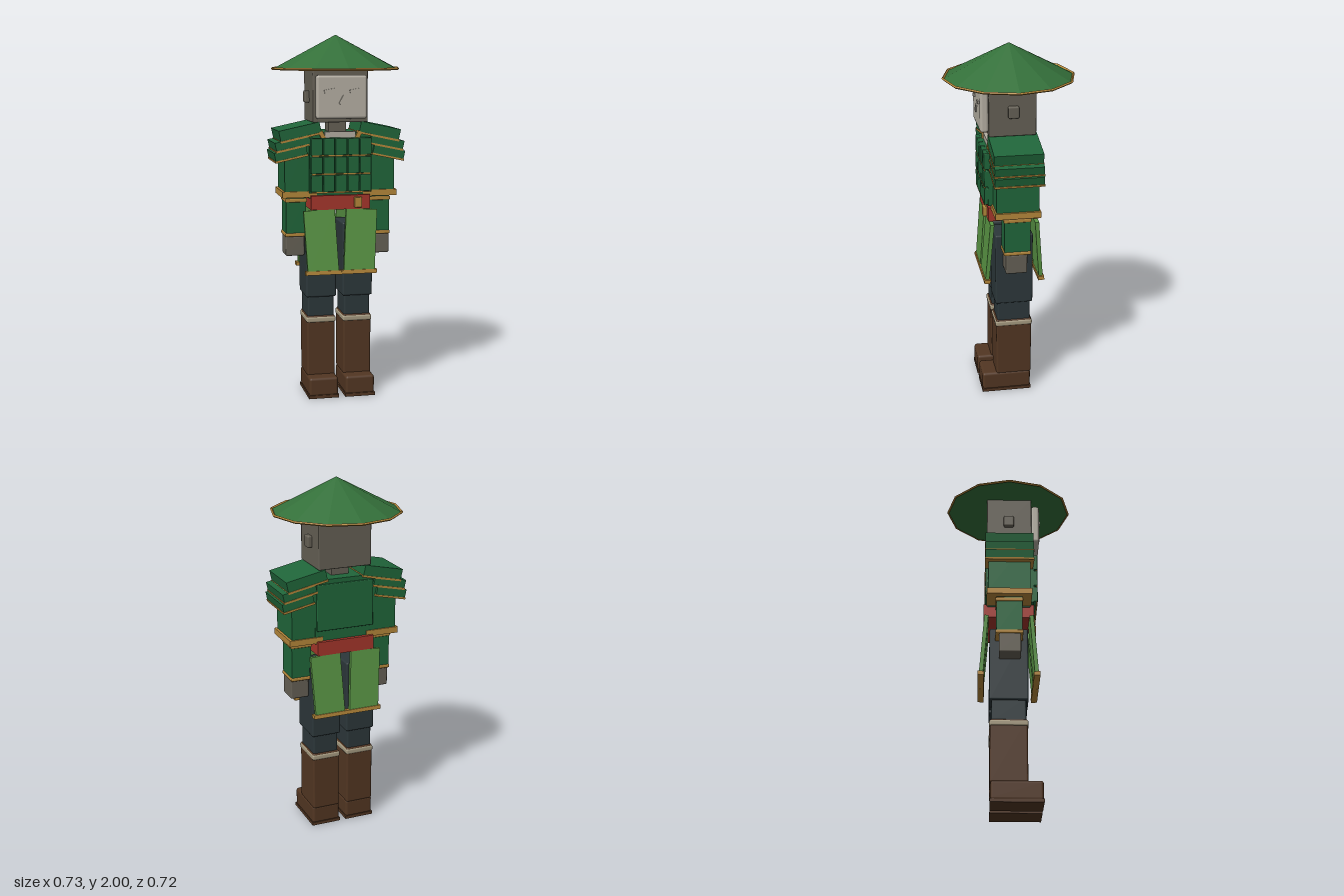
import * as THREE from 'three';
import { RoundedBoxGeometry } from 'three/addons/geometries/RoundedBoxGeometry.js';

const mat = (name, color) => {
  const m = new THREE.MeshStandardMaterial({ color });
  m.name = name;
  return m;
};

export function createModel() {
  const hatGreen = mat('hat green', 0x34703a);
  const green = mat('armour green', 0x20663a);
  const lime = mat('skirt green', 0x5a9645);
  const gold = mat('gold trim', 0xb5873a);
  const red = mat('belt red', 0xa5362b);
  const brown = mat('boot brown', 0x523622);
  const dark = mat('trouser slate', 0x2c373a);
  const beige = mat('boot cuff beige', 0xa59a80);
  const pale = mat('face pale grey', 0xb5afa3);
  const grey = mat('skin grey', 0x656055);

  const model = new THREE.Group();
  model.name = 'figure';

  const add = (parent, name, geometry, material, x, y, z) => {
    const mesh = new THREE.Mesh(geometry, material);
    mesh.name = name;
    mesh.position.set(x, y, z);
    parent.add(mesh);
    return mesh;
  };
  // Sharp box and softly bevelled box, placed by centre
  const box = (parent, name, m, w, h, d, x, y, z) =>
    add(parent, name, new THREE.BoxGeometry(w, h, d), m, x, y, z);
  const soft = (parent, name, m, w, h, d, x, y, z, r = 0.01) =>
    add(parent, name, new RoundedBoxGeometry(w, h, d, 2, r), m, x, y, z);
  const group = (name) => {
    const g = new THREE.Group();
    g.name = name;
    model.add(g);
    return g;
  };

  // Twelve-sided straw hat with a gold rim
  const hat = group('hat');
  const cone = new THREE.ConeGeometry(0.352, 0.185, 12).toNonIndexed();
  cone.computeVertexNormals();
  add(hat, 'hatCone', cone, hatGreen, 0, 1.9075, 0);
  const rim = new THREE.TorusGeometry(0.353, 0.007, 4, 12).rotateX(Math.PI / 2).toNonIndexed();
  rim.computeVertexNormals();
  add(hat, 'hatRim', rim, gold, 0, 1.818, 0);

  // Head, raised face plate and ears
  const head = group('head');
  soft(head, 'skull', grey, 0.305, 0.29, 0.255, 0, 1.675, 0.003, 0.006);
  soft(head, 'facePlate', pale, 0.28, 0.235, 0.046, 0, 1.668, 0.152, 0.015);
  box(head, 'neck', grey, 0.1, 0.07, 0.1, 0, 1.5, 0);
  for (const s of [-1, 1]) {
    soft(head, 'ear', grey, 0.03, 0.065, 0.058, s * 0.162, 1.665, 0, 0.008);
    box(head, 'eye', pale, 0.058, 0.017, 0.009, s * 0.07, 1.703, 0.178).rotation.z = 0.17;
  }
  box(head, 'nose', pale, 0.018, 0.05, 0.009, 0, 1.652, 0.178).rotation.z = -0.5;

  // Torso with back plate and open collar
  const torso = group('torso');
  box(torso, 'chest', green, 0.345, 0.36, 0.235, 0, 1.295, 0);
  soft(torso, 'backPlate', green, 0.33, 0.26, 0.02, 0, 1.32, -0.12, 0.005);
  box(torso, 'frontPlate', green, 0.345, 0.3, 0.03, 0, 1.297, 0.125);
  box(torso, 'undershirt', pale, 0.17, 0.035, 0.03, 0, 1.462, 0.112);
  for (const s of [-1, 1])
    box(torso, 'collarTrim', gold, 0.024, 0.05, 0.035, s * 0.1, 1.458, 0.116).rotation.z = s * -0.45;

  // Laced plates: three rows of five
  for (let row = 0; row < 3; row++) {
    const y = 1.4 - row * 0.1;
    for (let col = -2; col <= 2; col++)
      soft(torso, 'armourPlate', green, 0.063, 0.092, 0.026, col * 0.068, y, 0.148, 0.005);
    box(torso, 'plateLacing', gold, 0.325, 0.008, 0.008, 0, y - 0.048, 0.155);
  }

  // Belt and buckle
  const belt = group('belt');
  box(belt, 'beltBand', red, 0.33, 0.078, 0.278, 0, 1.093, 0);
  soft(belt, 'buckle', gold, 0.042, 0.058, 0.025, 0.095, 1.093, 0.149, 0.005);

  for (const s of [-1, 1]) {
    // Arm, cuffs and hand
    const arm = group(s > 0 ? 'leftArm' : 'rightArm');
    box(arm, 'upperSleeve', green, 0.15, 0.33, 0.23, s * 0.231, 1.315, 0);
    box(arm, 'sleeveTrim', gold, 0.19, 0.034, 0.246, s * 0.225, 1.139, 0);
    box(arm, 'forearm', green, 0.112, 0.215, 0.14, s * 0.236, 1.01, 0);
    soft(arm, 'elbowTrim', gold, 0.122, 0.022, 0.15, s * 0.236, 1.101, 0, 0.006);
    soft(arm, 'wristTrim', gold, 0.122, 0.02, 0.15, s * 0.236, 0.909, 0, 0.006);
    soft(arm, 'hand', grey, 0.105, 0.11, 0.118, s * 0.241, 0.845, 0.004, 0.008);
    soft(arm, 'thumb', grey, 0.035, 0.066, 0.045, s * 0.193, 0.86, 0.01, 0.008);

    // Three sloping shoulder tiers, each edged in gold
    const tiers = [[0.222, 1.48, 0.228, 0.062], [0.263, 1.418, 0.19, 0.05], [0.273, 1.362, 0.178, 0.05]];
    for (const [x, y, w, h] of tiers) {
      const tier = new THREE.Group();
      tier.name = 'shoulderTier';
      tier.position.set(s * x, y, 0);
      tier.rotation.z = s * -0.21;
      arm.add(tier);
      box(tier, 'shoulderPlate', green, w, h, 0.264, 0, 0, 0);
      box(tier, 'shoulderTrim', gold, w + 0.006, 0.011, 0.27, 0, -h / 2, 0);
    }

    // Leg, boot and foot
    const leg = group(s > 0 ? 'leftLeg' : 'rightLeg');
    const x = s * 0.103;
    soft(leg, 'thigh', dark, 0.17, 0.415, 0.21, x, 0.767, 0);
    soft(leg, 'knee', dark, 0.147, 0.14, 0.185, x, 0.507, 0);
    soft(leg, 'bootShaft', brown, 0.158, 0.345, 0.2, x, 0.28, 0);
    soft(leg, 'bootCuff', beige, 0.166, 0.032, 0.208, x, 0.43, 0);
    soft(leg, 'bootFoot', brown, 0.164, 0.105, 0.276, x, 0.064, 0.042, 0.015);
    box(leg, 'bootSole', brown, 0.17, 0.018, 0.28, x, 0.009, 0.042);

    // Front and back skirt panels, flaring away from the body
    for (const f of [-1, 1]) {
      const panel = group('skirtPanel');
      panel.position.set(s * 0.11, 0.878, f * 0.137);
      panel.rotation.set(f * -0.08, 0, s * -0.055);
      box(panel, 'skirtCloth', lime, 0.174, 0.35, 0.022, 0, 0, 0);
      const trim = box(panel, 'skirtTrim', gold, 0.2, 0.022, 0.034, 0, -0.172, 0);
      trim.rotation.z = s * 0.055;
    }
  }

  return model;
}
